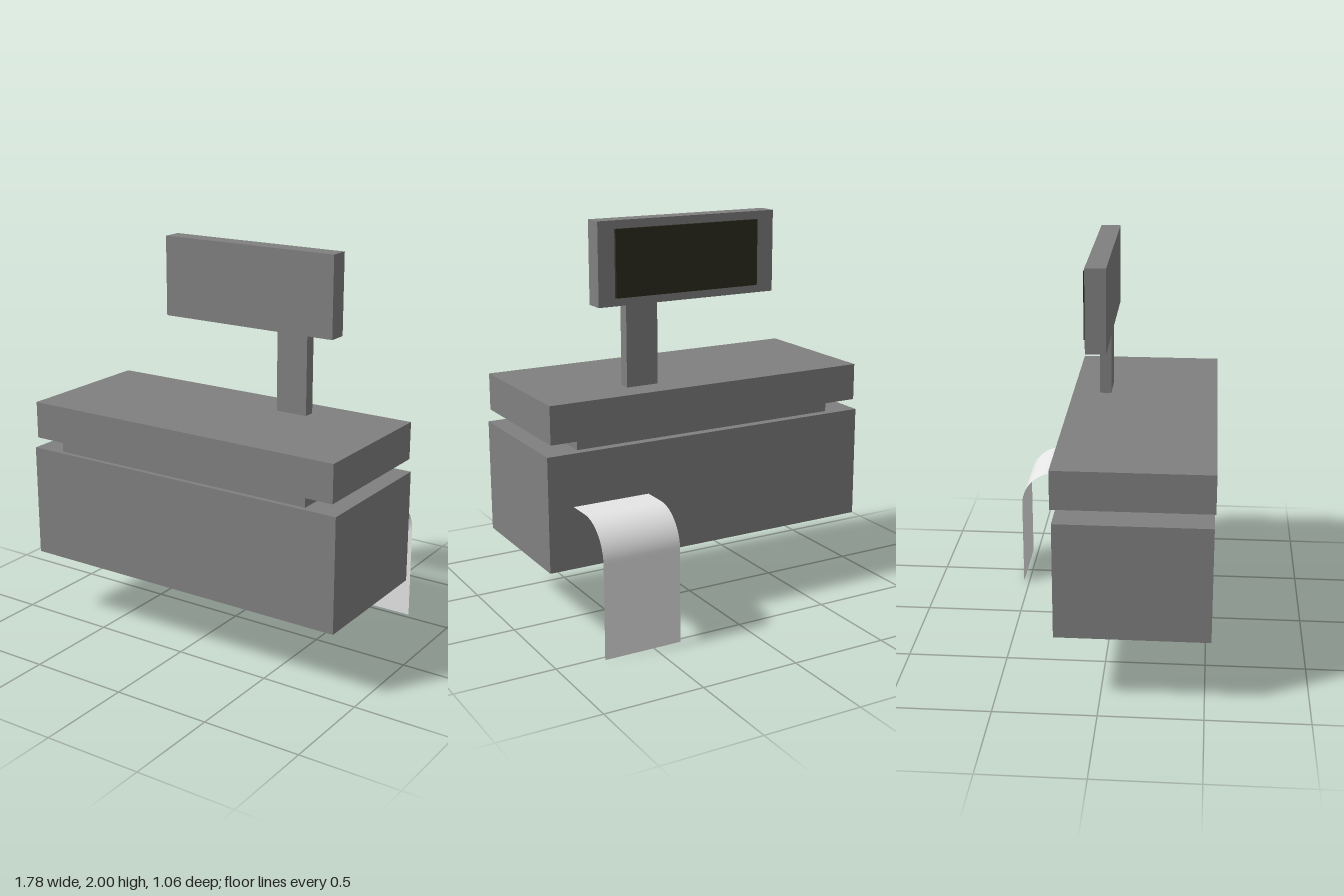
import * as THREE from 'three';

function material(name, color, side = THREE.FrontSide) {
  const m = new THREE.MeshStandardMaterial({ color, side });
  m.name = name;
  return m;
}

// Box given by its lower and upper limits on each axis
function block(name, mat, [x0, x1], [y0, y1], [z0, z1]) {
  const mesh = new THREE.Mesh(new THREE.BoxGeometry(x1 - x0, y1 - y0, z1 - z0), mat);
  mesh.position.set((x0 + x1) / 2, (y0 + y1) / 2, (z0 + z1) / 2);
  mesh.name = name;
  return mesh;
}

// Thin sheet: leaves the back wall flat, bends down over an arc, then hangs straight
function paperSheet(mat) {
  const x0 = 0.355, x1 = 0.76, top = 0.665, back = -0.53, radius = 0.19, steps = 16;
  const rows = [[-0.215, top, 0]];
  for (let i = 0; i <= steps; i++) {
    const a = (i / steps) * Math.PI / 2;
    rows.push([back + radius * (1 - Math.sin(a)), top - radius * (1 - Math.cos(a)), a]);
  }
  rows.push([back, 0, Math.PI / 2]);

  const geo = new THREE.PlaneGeometry(1, 1, 1, rows.length - 1);
  rows.forEach(([z, y, a], r) => {
    [x1, x0].forEach((x, c) => {
      geo.attributes.position.setXYZ(r * 2 + c, x, y, z);
      geo.attributes.normal.setXYZ(r * 2 + c, 0, Math.cos(a), -Math.sin(a));
    });
  });
  const mesh = new THREE.Mesh(geo, mat);
  mesh.name = 'receiptPaper';
  return mesh;
}

export function createModel() {
  const casing = material('casing grey', 0x808080);
  const glass = material('dark display', 0x2c2c20);
  const paper = material('paper white', 0xe6e6e6, THREE.DoubleSide);

  const model = new THREE.Group();
  model.name = 'cashRegister';
  model.add(
    // Main housing, recessed neck and lid
    block('body', casing, [-0.895, 0.89], [0.35, 0.93], [-0.215, 0.525]),
    block('neck', casing, [-0.73, 0.715], [0.93, 0.99], [-0.17, 0.5]),
    block('lid', casing, [-0.87, 0.875], [0.99, 1.18], [-0.225, 0.53]),
    // Customer display on its post, screen facing the back
    block('displayPost', casing, [0.23, 0.4], [1.18, 1.59], [-0.085, -0.025]),
    block('displayHousing', casing, [-0.425, 0.553], [1.59, 2], [-0.1, 0]),
    block('displayScreen', glass, [-0.325, 0.465], [1.63, 1.96], [-0.115, -0.1]),
    // Printed receipt
    paperSheet(paper),
  );
  return model;
}
